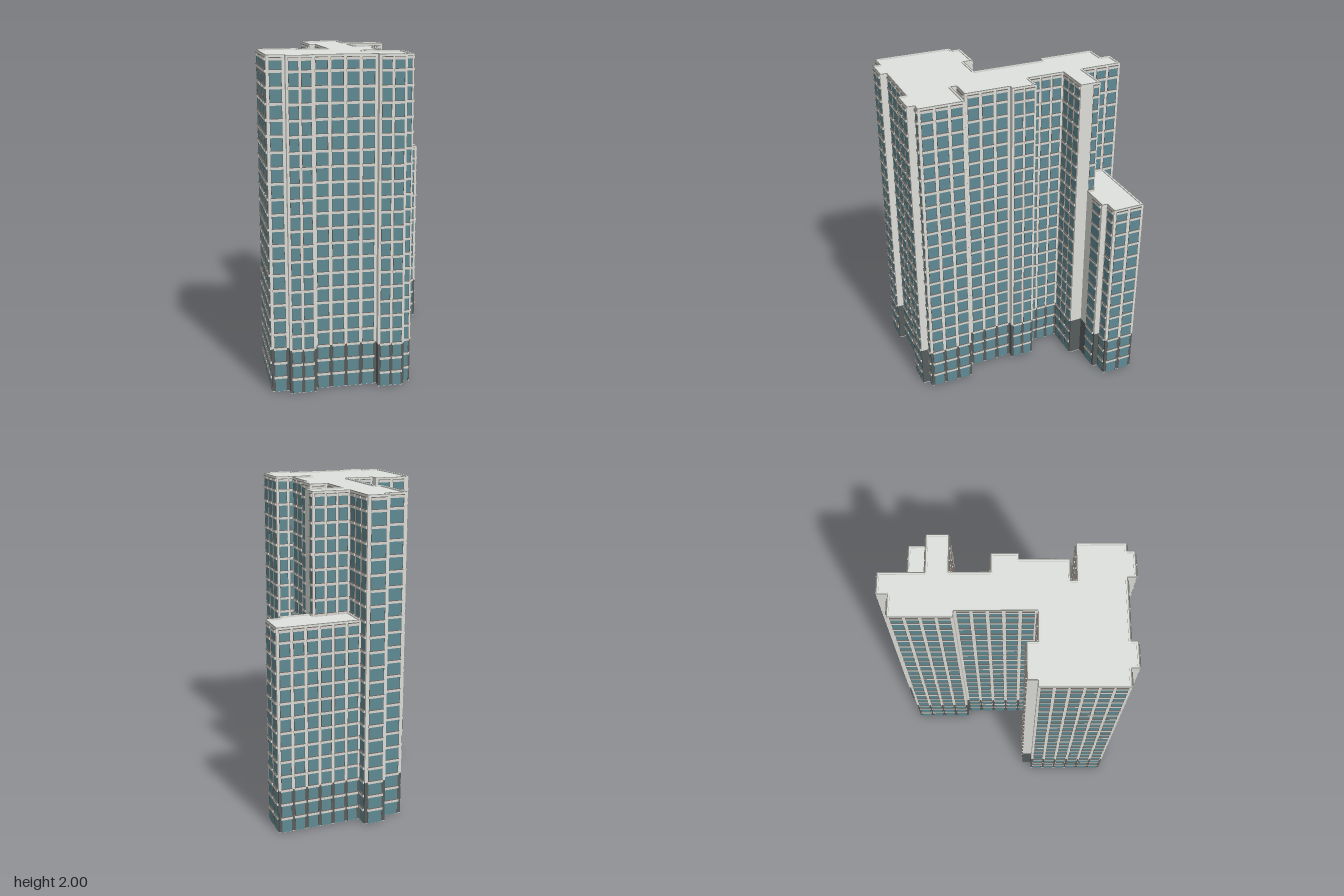
import * as THREE from 'three';
import { mergeGeometries } from 'three/addons/utils/BufferGeometryUtils.js';

const FLOOR = 2 / 22;      // storey height
const BASE = 3 * FLOOR;    // dark plinth storeys
const BAY = 0.086;         // typical window bay width

const mat = (name, color) => {
  const m = new THREE.MeshStandardMaterial({ color });
  m.name = name;
  return m;
};

// Footprints in the building's own axes, clockwise seen from above
const MAIN = [
  [-0.215, -0.682], [-0.08, -0.682], [-0.08, -0.745], [0.053, -0.745],
  [0.053, -0.48], [0.284, -0.48], [0.284, -0.351], [0.053, -0.351],
  [0.053, -0.116], [0.167, -0.116], [0.167, 0.04], [0.131, 0.04],
  [0.131, 0.325], [0, 0.325], [0, 0.362], [0.23, 0.362],
  [0.23, 0.644], [0.18, 0.644], [0.18, 0.69], [0.02, 0.69],
  [0.02, 0.641], [-0.355, 0.641], [-0.355, 0.682], [-0.511, 0.682],
  [-0.511, 0.636], [-0.615, 0.636], [-0.615, 0.138], [-0.574, 0.138],
  [-0.574, 0.08], [-0.357, 0.08], [-0.357, 0.143], [-0.177, 0.143],
  [-0.177, -0.319], [-0.215, -0.319],
];
const LOW = [
  [0.055, -0.667], [0.571, -0.667], [0.571, -0.462], [0.48, -0.462],
  [0.48, -0.428], [0.344, -0.428], [0.275, -0.428], [0.275, -0.47], [0.055, -0.47],
];

// Footprint extruded between two heights
function prism(points, y0, y1) {
  const shape = new THREE.Shape(points.map(([u, v]) => new THREE.Vector2(u, -v)));
  const g = new THREE.ExtrudeGeometry(shape, { depth: y1 - y0, bevelEnabled: false });
  return g.rotateX(-Math.PI / 2).translate(0, y0, 0);
}

// Box on a wall: s along the wall, reaching from depth "back" to "out" past the wall plane
function wallBox(edge, s, y, w, h, out, back = -0.002) {
  const g = new THREE.BoxGeometry(w, h, out - back);
  g.translate(0, 0, -(out + back) / 2);
  g.rotateY(Math.atan2(-edge.dz, edge.dx));
  return g.translate(edge.x + edge.dx * s, y, edge.z + edge.dz * s);
}

function buildBlock(name, points, floors, mats, special = {}) {
  const top = floors * FLOOR;
  const glass = [], ledges = [], frames = [], parapet = [], coping = [];

  points.forEach(([x, z], i) => {
    const [x2, z2] = points[(i + 1) % points.length];
    const len = Math.hypot(x2 - x, z2 - z);
    const edge = { x, z, dx: (x2 - x) / len, dz: (z2 - z) / len };

    // Roof edge
    parapet.push(wallBox(edge, len / 2, top - 0.01, len, 0.02, 0, -0.012));
    coping.push(wallBox(edge, len / 2, top - 0.001, len, 0.003, 0.001, -0.004));

    // Window bays; short returns stay plain
    const spec = special[i] || {};
    if (spec.plain || (len < 0.085 && !spec.windowed)) return;
    const start = spec.start ?? 0.006;
    const end = spec.end ?? len - 0.006;
    const n = Math.max(1, Math.round((end - start) / BAY));
    const pitch = (end - start) / n;
    const w = pitch * 0.74;
    const height = top - 0.022;
    for (let b = 0; b < n; b++) {
      const s = start + pitch * (b + 0.5);
      glass.push(wallBox(edge, s, height / 2 + 0.002, w, height, 0.002));
      for (const side of [-0.5, 0.5]) {
        frames.push(wallBox(edge, s + side * w, height / 2 + 0.002, 0.003, height, 0.003));
      }
      // Light sill with a thin dark rail on top at each storey
      for (let f = 1; f <= floors; f++) {
        const y = f * FLOOR - (f === floors ? 0.024 : 0);
        ledges.push(wallBox(edge, s, y, w + 0.01, 0.015, 0.008));
        frames.push(wallBox(edge, s, y + 0.009, w + 0.006, 0.003, 0.008));
      }
    }
  });

  const group = new THREE.Group();
  group.name = name;
  const add = (part, geometry, material) => {
    const mesh = new THREE.Mesh(geometry, material);
    mesh.name = part;
    group.add(mesh);
  };
  add('groundSlab', prism(points, 0, 0.004), mats.wall);
  add('plinth', prism(points, 0.004, BASE), mats.plinth);
  add('walls', prism(points, BASE, top - 0.02), mats.wall);
  add('roof', prism(points, top - 0.02, top - 0.008), mats.roof);
  add('parapet', mergeGeometries(parapet), mats.wall);
  add('coping', mergeGeometries(coping), mats.coping);
  add('windows', mergeGeometries(glass), mats.glass);
  add('floorLedges', mergeGeometries(ledges), mats.ledge);
  add('windowFrames', mergeGeometries(frames), mats.frame);
  return group;
}

export function createModel() {
  const mats = {
    wall: mat('wall grey', 0xdcddd8),
    roof: mat('roof grey', 0xdee1dd),
    plinth: mat('plinth dark grey', 0x565c5d),
    glass: mat('window teal', 0x5e8a94),
    ledge: mat('ledge light grey', 0xd8d5cf),
    frame: mat('frame brown grey', 0x6a655f),
    coping: mat('coping grey', 0x858783),
  };
  const model = new THREE.Group();
  model.name = 'towerBlock';

  // Tall tower: the stub wing's end wall has one narrow bay, as does the front corner return
  model.add(buildBlock('mainTower', MAIN, 22, mats, {
    5: { start: 0.005, end: 0.05 },
    16: { windowed: true },
  }));
  // Lower annex against the rear wing, plain where it meets the tower
  model.add(buildBlock('lowAnnex', LOW, 14, mats, {
    7: { plain: true },
    8: { plain: true },
  }));

  // Whole plan is turned on its plot
  for (const block of model.children) block.rotation.y = Math.PI / 6;
  return model;
}
